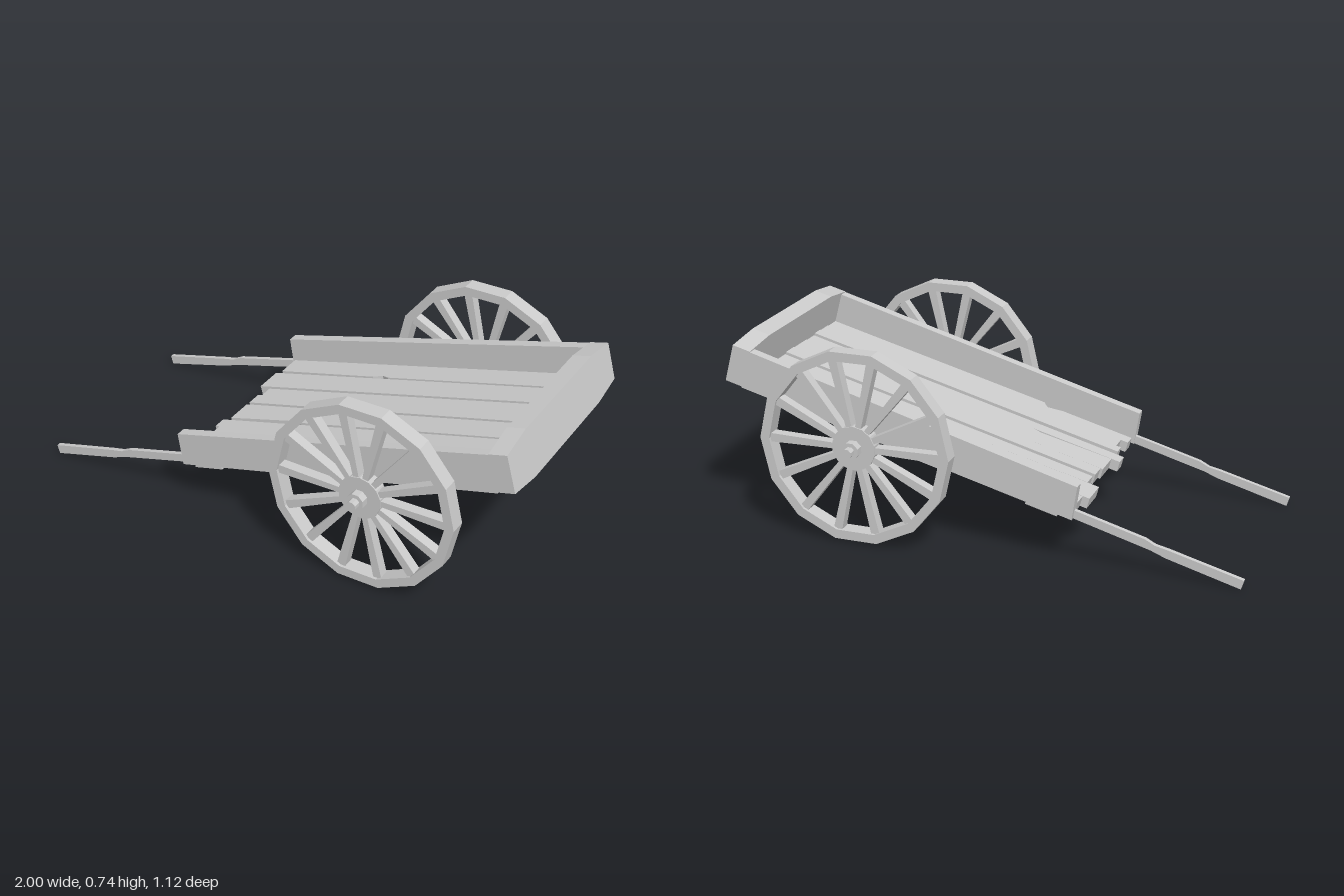
import * as THREE from 'three';

const wood = new THREE.MeshStandardMaterial({ color: 0xcccccc, flatShading: true });

function add(parent, geometry, name) {
  const mesh = new THREE.Mesh(geometry, wood);
  mesh.name = name;
  parent.add(mesh);
  return mesh;
}

// Extrudes an outline of [x, y] points along z, from z0 to z1.
function slab(points, z0, z1) {
  const shape = new THREE.Shape(points.map(([x, y]) => new THREE.Vector2(x, y)));
  return new THREE.ExtrudeGeometry(shape, { depth: z1 - z0, bevelEnabled: false }).translate(0, 0, z0);
}

// Extrudes a [z, y] cross outline along the bed, from x0 to x1.
function crossSlab(points, x0, x1) {
  return slab(points.map(([z, y]) => [-z, y]), x0, x1).rotateY(Math.PI / 2);
}

// Extrudes an [x, z] plan outline upward, from y0 to y1.
function planSlab(points, y0, y1) {
  return slab(points.map(([x, z]) => [x, -z]), y0, y1).rotateX(-Math.PI / 2);
}

function polygon(radius, sides) {
  return Array.from({ length: sides }, (_, i) => {
    const a = (i / sides) * Math.PI * 2;
    return new THREE.Vector2(Math.cos(a) * radius, Math.sin(a) * radius);
  });
}

function buildWheel() {
  const wheel = new THREE.Group();
  const sides = 14;
  const rim = new THREE.Shape(polygon(0.374, sides));
  rim.holes.push(new THREE.Path(polygon(0.338, sides).reverse()));
  add(wheel, new THREE.ExtrudeGeometry(rim, { depth: 0.062, bevelEnabled: false }).translate(0, 0, -0.031), 'rim');

  // Spokes widen slightly toward the rim
  const spoke = slab([[0.06, -0.011], [0.35, -0.017], [0.35, 0.017], [0.06, 0.011]], -0.02, 0.02);
  for (let i = 0; i < sides; i++) {
    add(wheel, spoke, 'spoke').rotation.z = (i / sides) * Math.PI * 2;
  }
  add(wheel, new THREE.CylinderGeometry(0.085, 0.085, 0.05, sides).rotateX(Math.PI / 2), 'hubDisc');
  return wheel;
}

export function createModel() {
  const cart = new THREE.Group();
  cart.name = 'handcart';

  // Tilted bed: local x runs from the open end to the tailboard
  const bed = new THREE.Group();
  bed.name = 'bed';
  bed.position.set(-0.37, 0.18, 0);
  bed.rotation.z = THREE.MathUtils.degToRad(15);
  cart.add(bed);

  // Floor planks: [open-end x, z edges at the open end, z edges at the tail]
  const planks = [
    [0.012, -0.385, -0.282, -0.385, -0.273],
    [-0.013, -0.272, -0.155, -0.268, -0.158],
    [0.035, -0.146, -0.083, -0.152, -0.080],
    [0.028, -0.077, -0.013, -0.074, -0.006],
    [0.02, -0.004, 0.108, 0.0, 0.108],
    [-0.013, 0.118, 0.172, 0.111, 0.177],
    [0.018, 0.182, 0.228, 0.182, 0.231],
    [0.04, 0.235, 0.303, 0.235, 0.305],
    [0.012, 0.310, 0.363, 0.310, 0.385],
  ];
  // Chipped edges, as extra points on the far (+z) edge of a plank
  const chips = {
    0: [[0.52, -0.275], [0.49, -0.288], [0.45, -0.276]],
    4: [[0.35, 0.108], [0.31, 0.098]],
    8: [[0.4, 0.385], [0.37, 0.347], [0.31, 0.365]],
  };
  planks.forEach(([x, a0, a1, b0, b1], i) => {
    const outline = [[x, a0], [1.35, b0], [1.35, b1], ...(chips[i] || []), [x, a1]];
    const drop = (i % 3) * 0.004;
    add(bed, planSlab(outline, -0.006 - drop, 0.036 - drop), 'floorPlank');
  });

  // Bowed battens beneath the floor
  const battenOutline = [
    [-0.42, -0.008], [-0.27, -0.024], [0.27, -0.024], [0.42, -0.008],
    [0.42, 0.01], [0.27, -0.006], [-0.27, -0.006], [-0.42, 0.01],
  ];
  for (const x of [0.118, 0.587, 1.055]) {
    add(bed, crossSlab(battenOutline, x - 0.062, x + 0.062), 'batten');
  }

  // Side boards and handles, mirrored
  for (const side of [-1, 1]) {
    const board = slab([[0, 0], [1.345, 0], [1.345, 0.149], [0.014, 0.131]], -0.02, 0.02);
    add(bed, board, 'sideBoard').position.z = side * 0.4;

    const handle = slab([
      [-0.645, -0.013], [-0.36, -0.01], [-0.3, -0.003], [0.1, 0.002], [0.1, 0.033],
      [-0.27, 0.03], [-0.31, 0.021], [-0.36, 0.023], [-0.646, 0.023],
    ], -0.009, 0.009);
    add(bed, handle, 'handle').position.z = side * 0.394;
  }

  // Tailboard, deeper in the middle than at its ends
  add(bed, crossSlab([
    [-0.42, 0.004], [-0.27, -0.016], [0.27, -0.016], [0.42, 0.004],
    [0.42, 0.151], [0.27, 0.172], [-0.27, 0.172], [-0.42, 0.151],
  ], 1.34, 1.412), 'tailboard');

  // Axle, wheels, nuts and axle ends
  const running = new THREE.Group();
  running.name = 'runningGear';
  running.position.set(0.44, 0.376, 0);
  cart.add(running);
  const rod = (radius, length, sides) => new THREE.CylinderGeometry(radius, radius, length, sides)
    .rotateX(Math.PI / 2).rotateZ(Math.PI / sides);
  add(running, rod(0.025, 0.96, 8), 'axle');
  for (const side of [-1, 1]) {
    const wheel = buildWheel();
    wheel.name = side > 0 ? 'frontWheel' : 'backWheel';
    wheel.position.z = side * 0.474;
    running.add(wheel);
    add(running, rod(0.034, 0.05, 8), 'hubNut').position.z = side * 0.506;
    add(running, rod(0.019, 0.1, 8), 'axleEnd').position.z = side * 0.51;
  }
  return cart;
}
